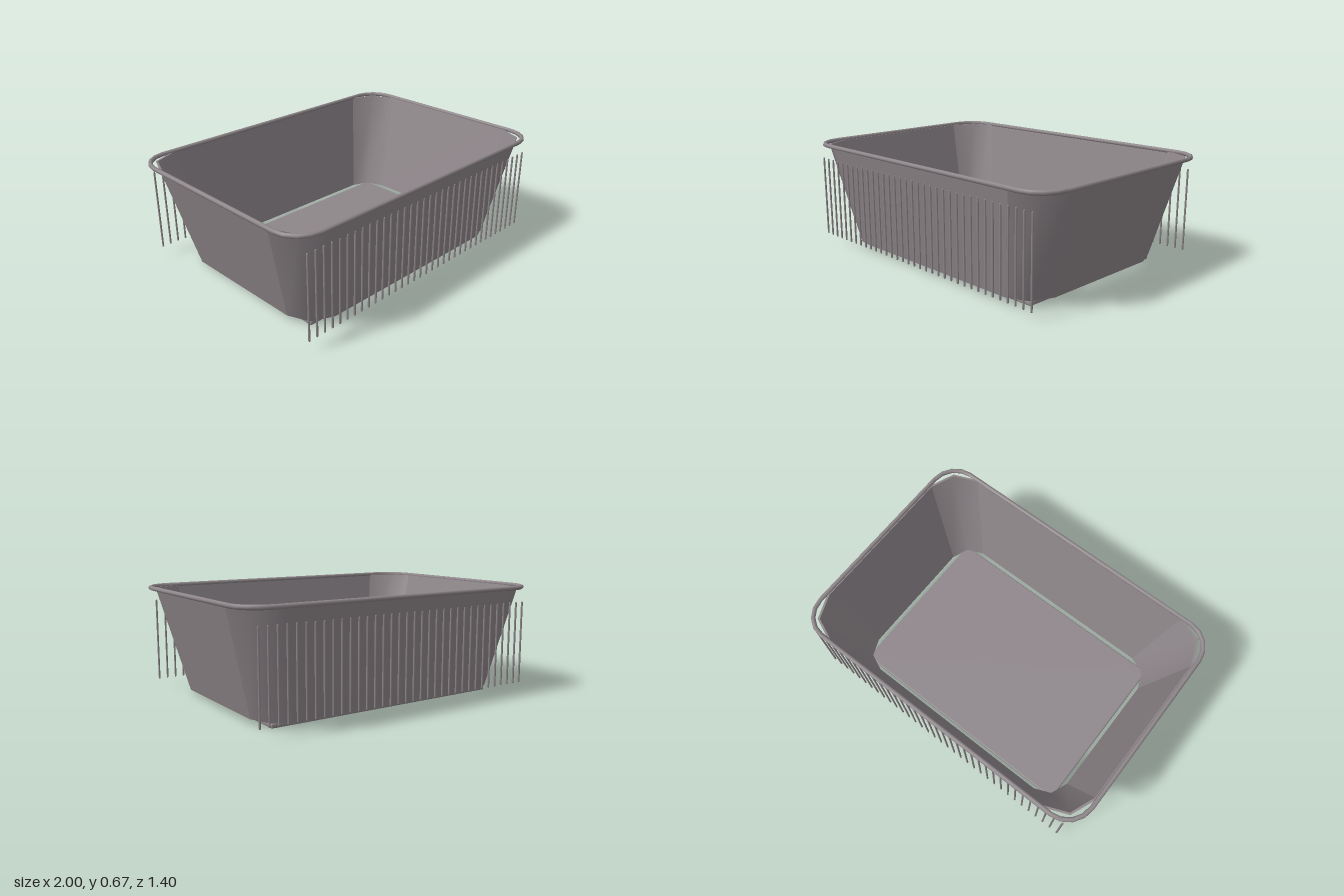
import * as THREE from 'three';
import { mergeGeometries } from 'three/addons/utils/BufferGeometryUtils.js';
import { RoundedBoxGeometry } from 'three/addons/geometries/RoundedBoxGeometry.js';

// Rounded-rectangle ring: four corner arcs about (cx, cz), reaching hx and hz
function outline(hx, hz, cx, cz, y, segs) {
  const pts = [];
  for (let q = 0; q < 4; q++) {
    const mid = (q + 0.5) * Math.PI / 2;
    const sx = Math.sign(Math.cos(mid)), sz = Math.sign(Math.sin(mid));
    for (let i = 0; i <= segs; i++) {
      const a = (q + i / segs) * Math.PI / 2;
      pts.push(new THREE.Vector3(
        sx * cx + (hx - cx) * Math.cos(a), y, sz * cz + (hz - cz) * Math.sin(a)));
    }
  }
  return pts;
}

// Smooth surface through a list of equally long point rows
function loft(rows) {
  const n = rows[0].length, index = [];
  for (let r = 0; r < rows.length - 1; r++) {
    for (let i = 0; i < n - 1; i++) {
      const a = r * n + i, b = a + n;
      index.push(a, b, a + 1, b, b + 1, a + 1);
    }
  }
  const g = new THREE.BufferGeometry().setFromPoints(rows.flat());
  g.setIndex(index);
  g.computeVertexNormals();
  return g;
}

export function createModel() {
  const model = new THREE.Group();
  const plastic = new THREE.MeshStandardMaterial({ color: 0x8e868a });
  plastic.name = 'warm grey plastic';
  const add = (geometry, name, parent = model) => {
    const mesh = new THREE.Mesh(geometry, plastic);
    mesh.name = name;
    parent.add(mesh);
    return mesh;
  };

  // Base plate, set just inside the walls
  add(new RoundedBoxGeometry(1.525, 0.026, 1.05, 2, 0.008), 'basePlate').position.y = 0.013;

  // Tapered walls: outer bottom, outer top, inner top, inner bottom
  const segs = 2;
  const rings = [
    outline(0.817, 0.581, 0.638, 0.395, 0.03, segs),
    outline(0.982, 0.693, 0.762, 0.471, 0.648, segs),
    outline(0.968, 0.68, 0.762, 0.471, 0.648, segs),
    outline(0.785, 0.545, 0.638, 0.395, 0.03, segs),
  ];
  // Solid piece of wall between two positions along the rings
  const wallPiece = (start, count) => {
    const cut = rings.map(ring =>
      Array.from({ length: count }, (_, i) => ring[(start + i) % ring.length]));
    return mergeGeometries(cut.map((row, i) => loft([row, cut[(i + 1) % 4]])));
  };
  const sides = ['frontWall', 'rightWall', 'backWall', 'leftWall'];
  const corners = ['frontLeftCorner', 'frontRightCorner', 'backRightCorner', 'backLeftCorner'];
  for (let q = 0; q < 4; q++) {
    const start = q * (segs + 1);
    add(wallPiece(start, segs + 1), corners[q]);
    add(wallPiece(start + segs, 2), sides[q]);
  }

  // Rounded rim bead around the opening
  const bead = 0.0135, rimRows = [];
  for (let k = 0; k <= 8; k++) {
    const t = -Math.PI / 2 + k * Math.PI / 4;
    const out = bead * Math.cos(t);
    const row = outline(0.9865 + out, 0.6885 + out, 0.83, 0.525, 0.6515 + bead * Math.sin(t), 4);
    rimRows.push([...row, row[0]]);
  }
  add(loft(rimRows), 'rim');

  // Rows of upright ribs along the front and back
  const ribGeometry = new THREE.CapsuleGeometry(0.0058, 0.495, 2, 8);
  const ribCount = 35;
  for (const side of [1, -1]) {
    const row = new THREE.Group();
    row.name = side > 0 ? 'frontRibs' : 'backRibs';
    for (let i = 0; i < ribCount; i++) {
      const x = -0.91 + 1.82 * i / (ribCount - 1);
      add(ribGeometry, 'rib', row).position.set(x, 0.312, side * 0.677);
    }
    model.add(row);
  }
  return model;
}
